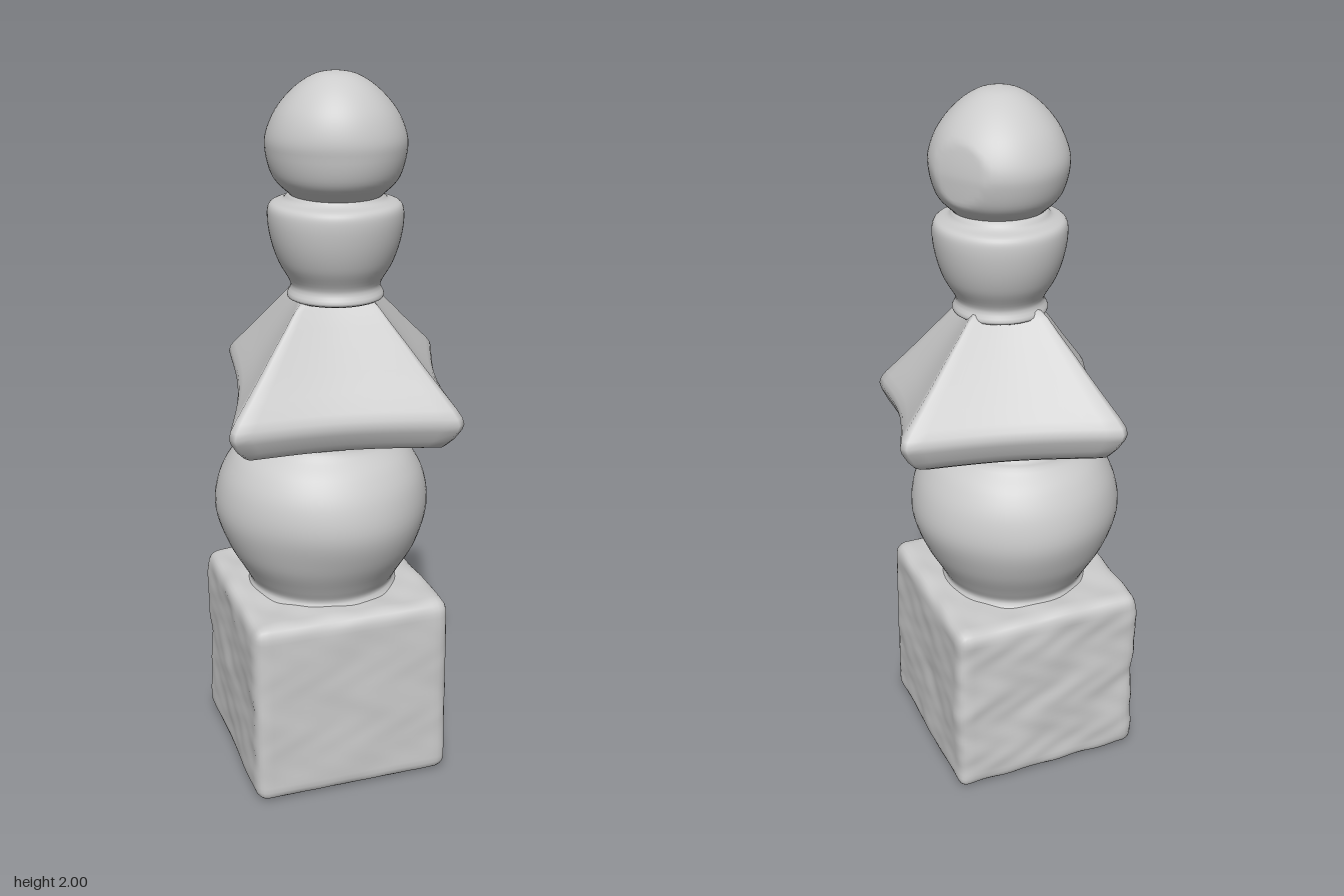
import * as THREE from 'three';
import { mergeVertices } from 'three/addons/utils/BufferGeometryUtils.js';

const material = new THREE.MeshStandardMaterial({ color: 0xcccccc, roughness: 0.9 });

// Weld, move every vertex by a rule, then smooth the normals
function sculpt(geometry, rule) {
  geometry.deleteAttribute('uv');
  geometry.deleteAttribute('normal');
  const g = mergeVertices(geometry, 1e-4);
  const pos = g.attributes.position;
  const v = new THREE.Vector3();
  for (let i = 0; i < pos.count; i++) {
    v.fromBufferAttribute(pos, i);
    rule(v);
    pos.setXYZ(i, v.x, v.y, v.z);
  }
  g.computeVertexNormals();
  return g;
}

// Gentle hand-carved unevenness
const wobble = (v, f) =>
  Math.sin(v.x * f + 1.3 * Math.sin(v.y * f * 0.8)) * Math.sin(v.y * f * 1.1 + 2) * Math.cos(v.z * f * 0.9 + 0.7);

// Square base block with worn, rounded edges
function baseBlock() {
  const half = new THREE.Vector3(0.286, 0.275, 0.287), r = 0.035;
  const inner = half.clone().subScalar(r);
  const box = new THREE.BoxGeometry(half.x * 2, half.y * 2, half.z * 2, 36, 36, 36);
  const c = new THREE.Vector3();
  return sculpt(box, v => {
    c.copy(v).clamp(inner.clone().negate(), inner);
    const dir = v.clone().sub(c).normalize();
    const bump = 0.005 * wobble(v, 17) + 0.0025 * wobble(v, 41);
    v.copy(c).addScaledVector(dir, r + bump);
    if (v.x > 0) v.x -= 0.01 * v.y; // sides lean in slightly
  });
}

// Turned stone from a few [radius, height] points
function turned(points, amount, rule = () => {}) {
  const curve = new THREE.SplineCurve(points.map(p => new THREE.Vector2(...p)));
  const profile = curve.getPoints(48).map(p => new THREE.Vector2(Math.max(0, p.x), p.y));
  return sculpt(new THREE.LatheGeometry(profile, 64), v => {
    const k = 1 + amount * wobble(v, 11);
    v.x *= k;
    v.z *= k;
    rule(v);
  });
}

// Tilted pyramid roof: stacked four-sided rings with hollow sides
function roofStone() {
  const corners = [[-0.372, 0.246], [0.252, 0.352], [0.372, -0.198], [-0.218, -0.352]];
  // [scale, height above the lip plane]
  const levels = [[0, -0.085], [0.5, -0.085], [0.78, -0.082], [0.87, -0.07], [0.93, -0.045],
    [0.985, -0.012], [1, 0.006], [0.985, 0.024], [0.94, 0.045], [0.83, 0.088], [0.7, 0.14],
    [0.58, 0.19], [0.46, 0.238], [0.36, 0.28], [0.31, 0.295], [0.24, 0.302], [0, 0.305]];
  const steps = 14, count = corners.length * (steps + 1);
  const pos = [], index = [];
  levels.forEach(([s, h], row) => {
    const rise = Math.max(0, h) / 0.305;
    corners.forEach(([ax, az], k) => {
      const [bx, bz] = corners[(k + 1) % 4];
      for (let i = 0; i <= steps; i++) {
        const t = 0.025 + 0.95 * i / steps;
        const bow = 1 - 0.09 * Math.sin(Math.PI * t);
        const x = s * bow * (ax + (bx - ax) * t), z = s * bow * (az + (bz - az) * t);
        pos.push(x - 0.02 * rise, 1.118 + h - 0.1 * z + 0.03 * x, z + 0.04 * rise);
      }
    });
    if (row === 0) return;
    for (let i = 0; i < count; i++) {
      const j = (i + 1) % count, lo = (row - 1) * count, hi = row * count;
      if (row > 1) index.push(lo + i, lo + j, hi + j);
      else index.push(lo + i, hi + j, hi + i);
      if (row > 1 && row < levels.length - 1) index.push(lo + i, hi + j, hi + i);
    }
  });
  const g = new THREE.BufferGeometry();
  g.setAttribute('position', new THREE.Float32BufferAttribute(pos, 3));
  g.setIndex(index);
  return sculpt(g, () => {});
}

export function createModel() {
  const group = new THREE.Group();
  const add = (name, geometry, x, y, z) => {
    const mesh = new THREE.Mesh(geometry, material);
    mesh.name = name;
    mesh.position.set(x, y, z);
    group.add(mesh);
  };

  add('baseBlock', baseBlock(), -0.045, 0.282, 0.03);

  // Round body with a short neck sitting on the block
  add('roundBody', turned([[0, 0.53], [0.21, 0.53], [0.208, 0.57], [0.228, 0.61], [0.272, 0.69], [0.302, 0.79],
    [0.292, 0.88], [0.256, 0.95], [0.205, 1.0], [0.17, 1.04], [0, 1.06]], 0.012), -0.05, 0, 0.03);

  add('roof', roofStone(), 0, 0, 0);

  // Cup-shaped stone flaring upward
  add('cup', turned([[0, 1.39], [0.125, 1.4], [0.122, 1.44], [0.155, 1.5], [0.175, 1.56], [0.183, 1.62],
    [0.175, 1.655], [0.14, 1.668], [0.11, 1.69], [0, 1.7]], 0.012), -0.014, 0, 0.05);

  // Jewel-like top ball, flattened on one side, with an off-centre peak
  add('topBall', turned([[0, 1.66], [0.1, 1.67], [0.135, 1.692], [0.168, 1.73], [0.185, 1.79], [0.184, 1.84],
    [0.158, 1.9], [0.11, 1.955], [0.055, 1.99], [0, 2.0]], 0.015, v => {
    const out = v.x * 0.86 - v.z * 0.51;
    const excess = Math.max(0, out - 0.165) * 0.75;
    v.x -= 0.86 * excess;
    v.z += 0.51 * excess;
    const lean = Math.max(0, (v.y - 1.8) / 0.2);
    v.x -= 0.01 * lean;
    v.z += 0.02 * lean;
  }), -0.014, 0, 0.06);

  return group;
}
